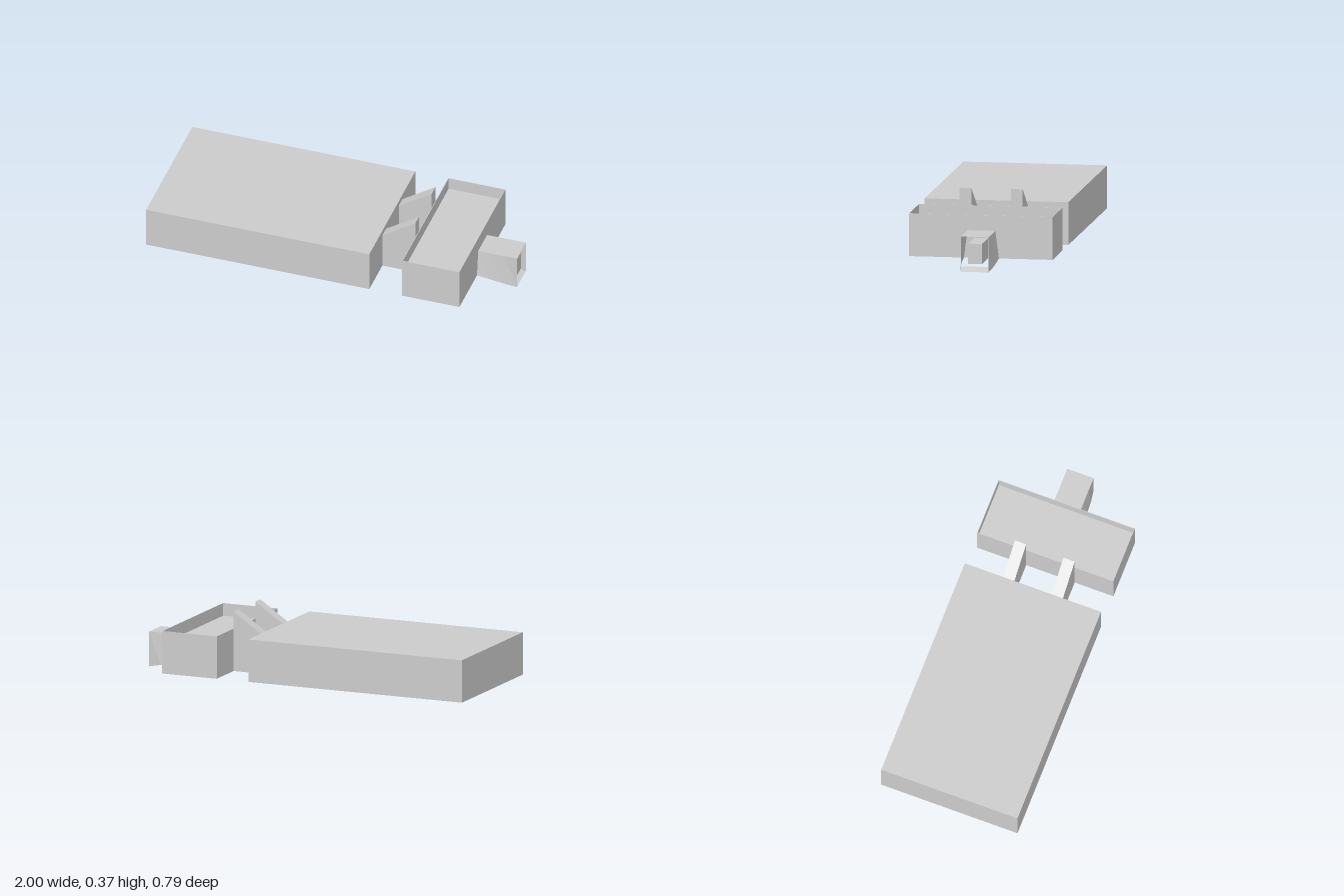
import * as THREE from 'three';

const solid = new THREE.MeshStandardMaterial({ color: 0xcccccc, flatShading: true });
const thin = new THREE.MeshStandardMaterial({ color: 0xcccccc, flatShading: true, side: THREE.DoubleSide });

const BASE = 0.045, TOP = 0.279, HALF = 0.393;

export function createModel() {
  const model = new THREE.Group();
  const add = (name, geometry, material = solid) => {
    const mesh = new THREE.Mesh(geometry, material);
    mesh.name = name;
    model.add(mesh);
    return mesh;
  };
  // Box given by its min and max on each axis
  const box = (name, x0, x1, y0, y1, z0, z1) =>
    add(name, new THREE.BoxGeometry(x1 - x0, y1 - y0, z1 - z0))
      .position.set((x0 + x1) / 2, (y0 + y1) / 2, (z0 + z1) / 2);

  // Main slab
  box('mainBody', -1, 0.268, BASE, TOP, -HALF, HALF);

  // Tray: solid floor block with a thin raised rim
  const x0 = 0.455, x1 = 0.78, floor = 0.21, t = 0.003;
  box('trayBase', x0, x1, BASE, floor, -HALF, HALF);
  box('trayRimInner', x0, x0 + t, floor, TOP, -HALF, HALF);
  box('trayRimOuter', x1 - t, x1, floor, TOP, -HALF, HALF);
  for (const s of [-1, 1]) {
    const a = s * HALF, b = s * (HALF - t);
    box('trayRimSide', x0 + t, x1 - t, floor, TOP, Math.min(a, b), Math.max(a, b));
  }

  // Two sloped ribs between slab and tray
  const rib = new THREE.Shape([[0.268, BASE], [x0, BASE], [x0, 0.373], [0.268, 0.248]]
    .map(([x, y]) => new THREE.Vector2(x, y)));
  for (const z of [-0.175, 0.105]) {
    add('slopedRib', new THREE.ExtrudeGeometry(rib, { depth: 0.065, bevelEnabled: false })).position.z = z;
  }

  // Underside sheet joining slab and tray
  const sheet = add('bridgeUnderside', new THREE.PlaneGeometry(x0 - 0.268, 0.345));
  sheet.rotation.x = Math.PI / 2;
  sheet.position.set((x0 + 0.268) / 2, BASE, -0.0025);

  // Hollow connector shell: [x, bottom y, bottom half width] sections
  const zc = -0.004, roof = 0.195, roofHalf = 0.076;
  const sections = [[0.78, BASE, 0.096], [0.85, 0.034, 0.094], [0.925, 0.02, 0.089], [1, 0.003, 0.076]];
  const pos = [], index = [];
  for (const [x, y, w] of sections) {
    pos.push(x, y, zc + w, x, roof, zc + roofHalf, x, roof, zc - roofHalf, x, y, zc - w);
  }
  for (let i = 0; i < sections.length - 1; i++) {
    for (let j = 0; j < 4; j++) {
      // The bottom closes only near the mouth
      if (j === 3 && i < 2) continue;
      const k = (j + 1) % 4, a = i * 4 + j, b = i * 4 + k;
      index.push(a, a + 4, b, b, a + 4, b + 4);
    }
  }
  const shell = new THREE.BufferGeometry();
  shell.setAttribute('position', new THREE.Float32BufferAttribute(pos, 3));
  shell.setIndex(index);
  shell.computeVertexNormals();
  add('connectorShell', shell, thin);

  // Tongue inside the shell
  box('connectorTongue', x1, 0.985, BASE, 0.155, -0.041, 0.034);

  return model;
}
